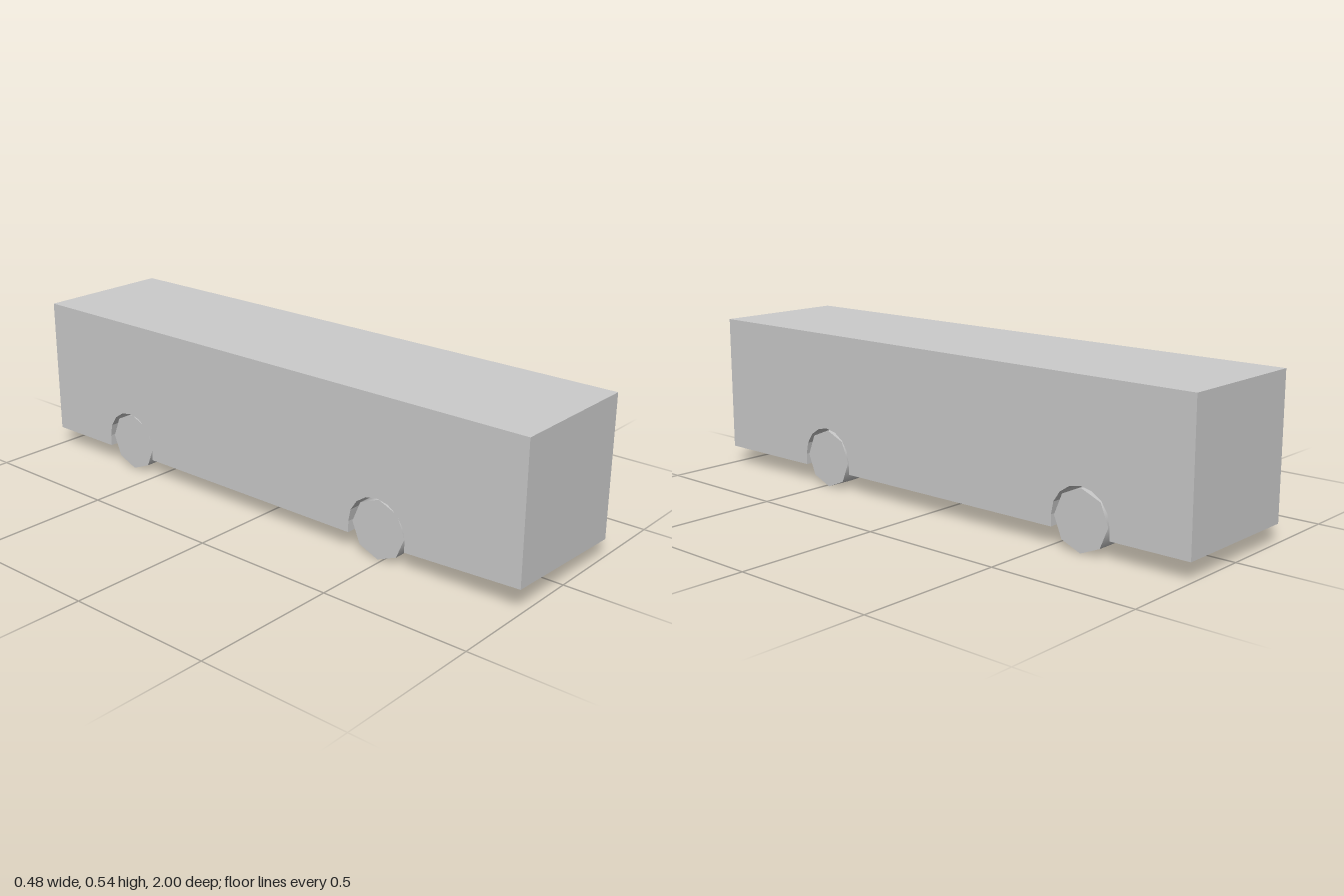
import * as THREE from 'three';

const HALF_W = 0.239, FLOOR = 0.062, ROOF = 0.538;
const AXLES = [-0.615, 0.485]; // z of rear and front axle
const WHEEL_R = 0.1, ARCH_R = 0.108;

const mat = new THREE.MeshStandardMaterial({ color: 0xcccccc });

// Side profile (z, y) with an arch over each axle, drawn out across the width
function makeBody() {
  const s = new THREE.Shape();
  s.moveTo(-1, FLOOR);
  for (const z of AXLES) {
    s.lineTo(z - ARCH_R, FLOOR);
    for (let i = 0; i <= 8; i++) {
      const a = Math.PI * (1 - i / 8);
      s.lineTo(z + ARCH_R * Math.cos(a), WHEEL_R + ARCH_R * Math.sin(a));
    }
    s.lineTo(z + ARCH_R, FLOOR);
  }
  s.lineTo(1, FLOOR);
  s.lineTo(1, ROOF);
  s.lineTo(-1, ROOF);
  s.closePath();
  const g = new THREE.ExtrudeGeometry(s, { depth: 2 * HALF_W, bevelEnabled: false });
  g.translate(0, 0, -HALF_W);
  g.rotateY(-Math.PI / 2);
  // the front lower edge rises slightly towards the right corner
  const p = g.attributes.position;
  for (let i = 0; i < p.count; i++) {
    if (p.getX(i) < 0 && p.getY(i) < 0.07 && p.getZ(i) > 0.99) p.setY(i, 0.08);
  }
  g.computeVertexNormals();
  const body = new THREE.Mesh(g, mat);
  body.name = 'body';
  return body;
}

export function createModel() {
  const model = new THREE.Group();
  model.name = 'bus';
  model.add(makeBody());

  // Eight-sided wheels standing on a corner
  const wheelGeo = new THREE.CylinderGeometry(WHEEL_R, WHEEL_R, 0.105, 8);
  wheelGeo.rotateZ(Math.PI / 2);
  AXLES.forEach((z, i) => {
    for (const side of [-1, 1]) {
      const wheel = new THREE.Mesh(wheelGeo, mat);
      wheel.name = (i ? 'front' : 'rear') + (side > 0 ? 'Left' : 'Right') + 'Wheel';
      wheel.position.set(side * 0.179 + 0.003, WHEEL_R, z);
      model.add(wheel);
    }
  });
  return model;
}
